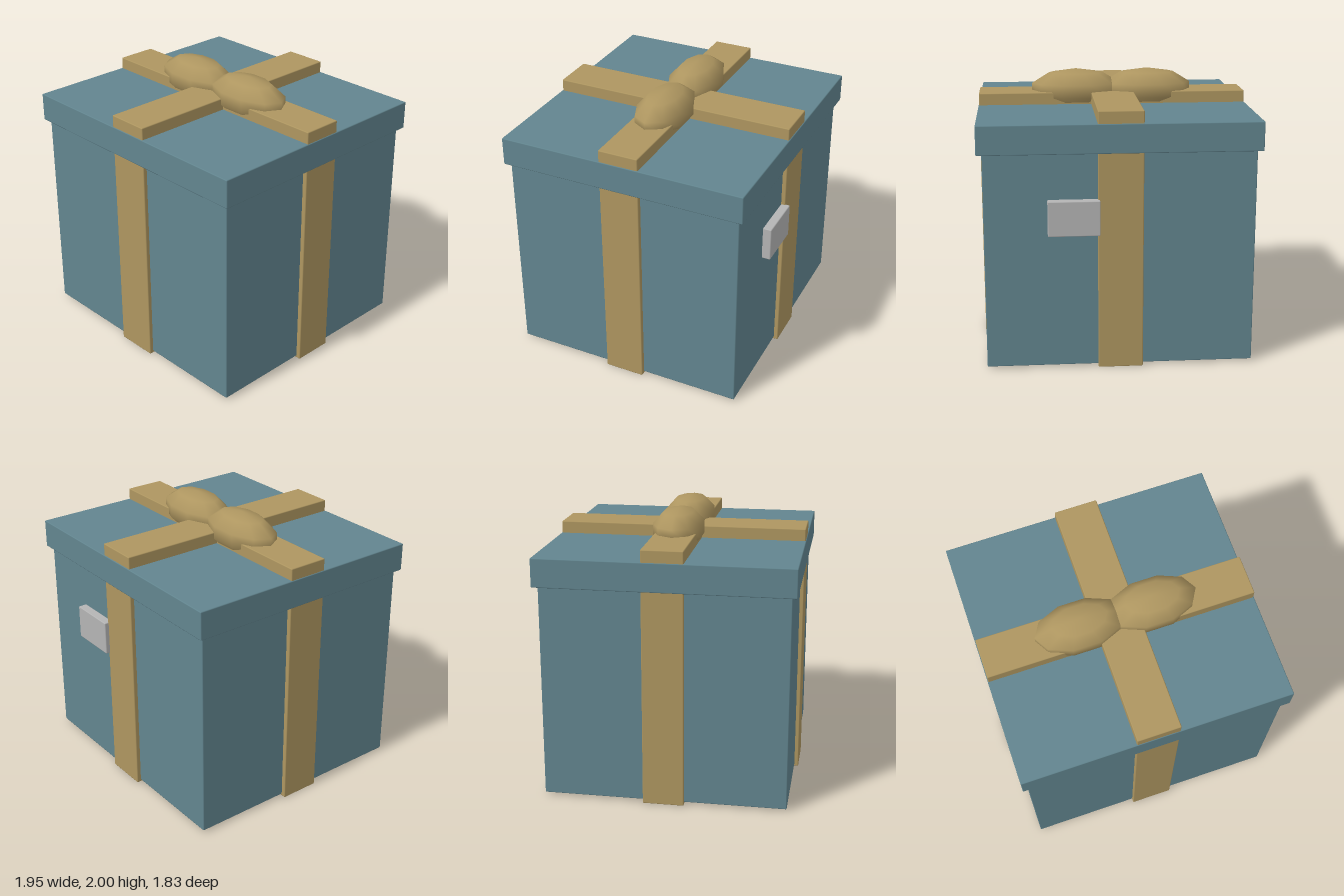
import * as THREE from 'three';
import { RoundedBoxGeometry } from 'three/addons/geometries/RoundedBoxGeometry.js';

function material(name, color) {
  const m = new THREE.MeshStandardMaterial({ color });
  m.name = name;
  return m;
}

export function createModel() {
  const group = new THREE.Group();
  group.name = 'giftBox';
  const blue = material('blueCard', 0x62858f);
  const gold = material('goldRibbon', 0xae9660);
  const grey = material('greyTag', 0xb4b4b4);

  // Box with finely bevelled edges, given by its minimum and maximum corners
  function block(name, mat, min, max) {
    const size = max.map((v, i) => v - min[i]);
    const mesh = new THREE.Mesh(new RoundedBoxGeometry(...size, 1, 0.007), mat);
    mesh.position.set(...max.map((v, i) => (v + min[i]) / 2));
    mesh.name = name;
    group.add(mesh);
  }

  // Body and overhanging lid
  block('body', blue, [-0.94, 0.02, -0.853], [0.94, 1.57, 0.883]);
  block('lid', blue, [-0.977, 1.553, -0.89], [0.977, 1.758, 0.917]);

  // Ribbons wrapped around the box in both directions
  block('ribbonFrontToBack', gold, [-0.157, 0.005, -0.884], [0.157, 1.845, 0.912]);
  block('ribbonSideToSide', gold, [-0.972, 0.005, -0.133], [0.972, 1.844, 0.16]);

  // Two bow loops
  for (const side of [-1, 1]) {
    const loop = new THREE.Mesh(new THREE.SphereGeometry(1, 10, 5), gold);
    loop.scale.set(0.339, 0.152, 0.19);
    loop.position.set(side * 0.262, 1.848, 0.01);
    loop.name = side > 0 ? 'bowLeft' : 'bowRight';
    group.add(loop);
  }

  // Label on the back
  block('tag', grey, [0.143, 0.985, -0.916], [0.503, 1.233, -0.85]);

  return group;
}
